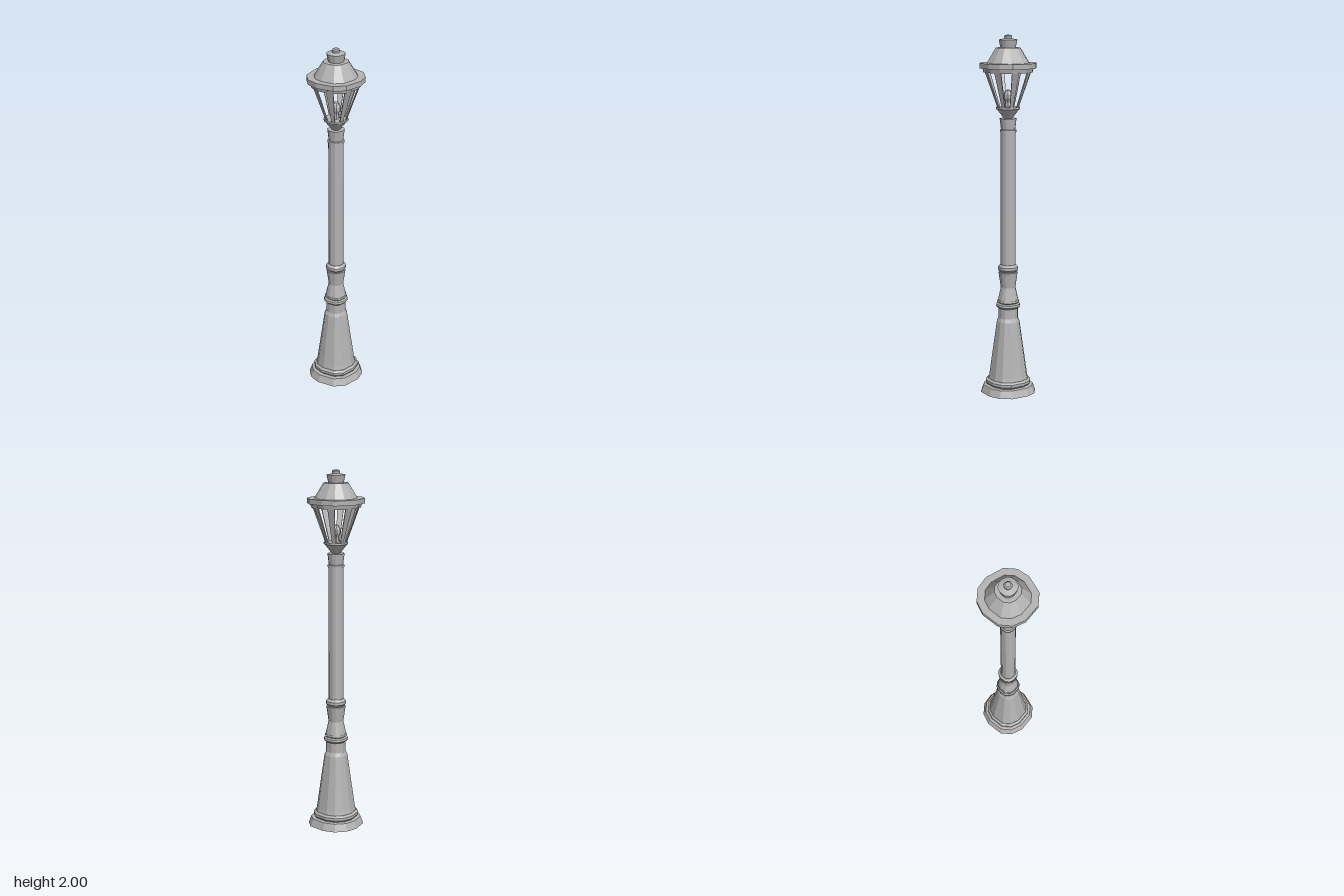
import * as THREE from 'three';

// Uneven twelve-sided outline shared by all turned parts (x, z at unit radius)
const OUTLINE = [
  [-0.1, 1], [0.55, 0.88], [0.88, 0.55], [1, -0.1], [0.88, -0.55], [0.55, -0.88],
  [-0.1, -1], [-0.55, -0.88], [-0.88, -0.55], [-1, -0.1], [-0.88, 0.55], [-0.55, 0.88],
];

// Turned part: profile of [radius, y] from bottom to top, swept along the outline
function turned(profile) {
  const pts = profile.map(([r, y]) => new THREE.Vector2(r, y));
  const geo = new THREE.LatheGeometry(pts, OUTLINE.length);
  const pos = geo.attributes.position;
  for (let i = 0; i < pos.count; i++) {
    const [r, y] = profile[i % profile.length];
    const [dx, dz] = OUTLINE[Math.floor(i / profile.length) % OUTLINE.length];
    pos.setXYZ(i, r * dx, y, r * dz);
  }
  geo.computeVertexNormals();
  return geo;
}

export function createModel() {
  const model = new THREE.Group();
  model.name = 'streetLamp';
  const metal = new THREE.MeshStandardMaterial({ color: 0xb4b4b4, flatShading: true });
  metal.name = 'greyMetal';

  const add = (name, geo, parent = model) => {
    const mesh = new THREE.Mesh(geo, metal);
    mesh.name = name;
    parent.add(mesh);
    return mesh;
  };

  // Foot and tapered pedestal
  add('foot', turned([[0, 0], [0.15, 0], [0.135, 0.042], [0.115, 0.045],
    [0.122, 0.055], [0.122, 0.07], [0.11, 0.08], [0, 0.08]]));
  add('pedestal', turned([[0.108, 0.08], [0.104, 0.1], [0.062, 0.41], [0.053, 0.43],
    [0.053, 0.488], [0, 0.488]]));

  // Mouldings and waisted section
  add('lowerMoulding', turned([[0, 0.485], [0.055, 0.487], [0.066, 0.498], [0.064, 0.51],
    [0.052, 0.515], [0.06, 0.522], [0.058, 0.532], [0, 0.534]]));
  add('waist', turned([[0.056, 0.53], [0.04, 0.605], [0.052, 0.692], [0, 0.694]]));
  add('upperMoulding', turned([[0, 0.69], [0.045, 0.694], [0.054, 0.706], [0.054, 0.722],
    [0.042, 0.735], [0, 0.735]]));

  // Pole with flared collar
  add('pole', turned([[0.04, 0.73], [0.04, 1.48]]));
  add('poleCollar', turned([[0, 1.475], [0.044, 1.475], [0.044, 1.487], [0.038, 1.49],
    [0.045, 1.55], [0, 1.55]]));

  // Lantern cup, closed at the top
  const lantern = new THREE.Group();
  lantern.name = 'lantern';
  model.add(lantern);
  add('cup', turned([[0, 1.545], [0.022, 1.55], [0.058, 1.598], [0.064, 1.602],
    [0.064, 1.612], [0, 1.612]]), lantern);

  // Eight flat bars, wider at the top, leaning outwards
  for (let i = 0; i < 8; i++) {
    const bar = new THREE.BoxGeometry(1, 1, 0.006);
    const p = bar.attributes.position;
    for (let k = 0; k < p.count; k++) {
      const top = p.getY(k) > 0;
      p.setXYZ(k, Math.sign(p.getX(k)) * (top ? 0.02 : 0.009), top ? 1.812 : 1.606,
        p.getZ(k) + (top ? 0.127 : 0.054));
    }
    bar.rotateY(Math.PI / 8 + i * Math.PI / 4);
    bar.computeVertexNormals();
    add('lanternBar', bar, lantern);
  }

  // Bulb and holder
  add('bulbHolder', new THREE.CylinderGeometry(0.016, 0.02, 0.03, 8)
    .translate(0, 1.625, 0), lantern);
  const bulb = [[0.016, 1.638], [0.026, 1.66], [0.026, 1.68], [0.014, 1.702], [0, 1.708]];
  add('bulb', new THREE.LatheGeometry(bulb.map(([r, y]) => new THREE.Vector2(r, y)), 8), lantern);

  // Rim with ceiling, roof, chimney and finial
  add('rim', turned([[0, 1.81], [0.122, 1.81], [0.13, 1.8], [0.135, 1.822], [0.15, 1.822],
    [0.15, 1.85], [0, 1.85]]), lantern);
  add('roof', turned([[0.113, 1.849], [0.104, 1.865], [0.065, 1.932], [0, 1.932]]), lantern);
  add('chimney', turned([[0.04, 1.93], [0.049, 1.975], [0.02, 1.981], [0, 1.981]]), lantern);
  add('finial', turned([[0.019, 1.978], [0.021, 1.994], [0.014, 2], [0, 2]]), lantern);

  return model;
}
